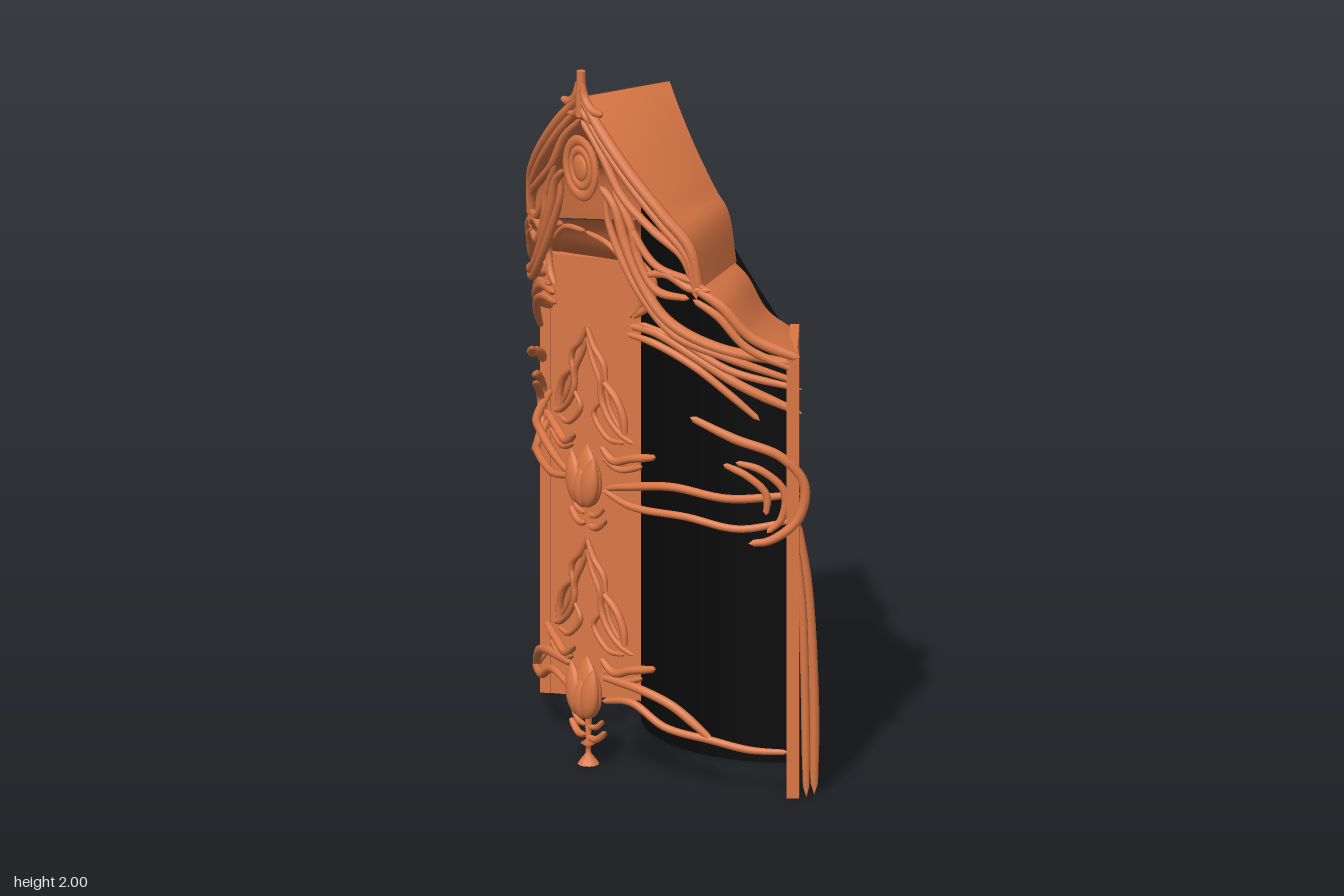
import * as THREE from 'three';
import { ParametricGeometry } from 'three/addons/geometries/ParametricGeometry.js';

const copper = new THREE.MeshStandardMaterial({ color: 0xdc7846, side: THREE.DoubleSide });
const black = new THREE.MeshStandardMaterial({ color: 0x0a0a0a, side: THREE.DoubleSide });
const CZ = -0.46;          // axis of the curved plan
const R_IN = 0.39, R_OUT = 0.68;
const rad = THREE.MathUtils.degToRad;
const spline = pts => new THREE.CatmullRomCurve3(pts.map(([x, y, z = 0]) => new THREE.Vector3(x, y, z)));

export function createModel() {
  const root = new THREE.Group();

  const add = (name, geo, mat = copper, parent = root) => {
    const m = new THREE.Mesh(geo, mat);
    m.name = name;
    parent.add(m);
    return m;
  };

  // Tube through 3D points with its ends drawn closed
  const rod = (name, pts, r, flat = 1) => {
    const n = Math.max(14, pts.length * 6), sides = 8;
    const curve = spline(pts);
    const g = new THREE.TubeGeometry(curve, n, r, sides);
    const p = g.attributes.position, c = new THREE.Vector3(), v = new THREE.Vector3();
    for (let i = 0; i <= n; i++) {
      curve.getPointAt(i / n, c);
      const t = Math.min(i, n - i) / n;
      const s = t === 0 ? 0 : Math.min(1, 0.7 + t * 1.5);
      for (let j = 0; j <= sides; j++) {
        const k = i * (sides + 1) + j;
        v.fromBufferAttribute(p, k).sub(c).multiplyScalar(s * flat).add(c);
        p.setXYZ(k, v.x, v.y, v.z);
      }
    }
    return add(name, g);
  };

  // Front-view (x, y) path laid on the curved front, built on both sides
  const wrap = (x, R) => CZ + Math.sqrt(Math.max(0, R * R - x * x));
  const vine = (name, pts, r = 0.012, R = 0.675) => {
    for (const s of [1, -1]) rod(name, pts.map(([x, y]) => [s * x, y, wrap(x, R)]), r);
  };

  // Black back panel with pointed top
  add('backPanel', new ParametricGeometry((u, v, t) => {
    const a = rad((u * 2 - 1) * 57), k = Math.abs(u * 2 - 1);
    t.set(R_IN * Math.sin(a), v * (1.9 - 0.68 * Math.pow(k, 0.87)), CZ + R_IN * Math.cos(a));
  }, 48, 1), black);

  // Roof sheets: profile of angle and height swept from inner to outer radius
  const upper = [[0.3, 1.925], [8, 1.84], [16, 1.75], [25, 1.65], [31.5, 1.57], [34, 1.45]];
  const lower = [[33, 1.45], [39, 1.41], [46, 1.325], [57, 1.265]];
  for (const [name, prof] of [['upperRoof', upper], ['lowerRoof', lower]]) {
    const c = spline(prof);
    for (const s of [1, -1]) {
      add(name, new ParametricGeometry((u, v, t) => {
        const p = c.getPoint(u), a = rad(p.x), R = R_IN + v * (R_OUT - R_IN);
        t.set(s * R * Math.sin(a), p.y - 0.015 * (1 - v), CZ + R * Math.cos(a));
      }, 24, 2));
    }
    // Mouldings along the front edge
    for (const [d, r] of [[0, 0.016], [0.03, 0.012]]) {
      vine(name + 'Moulding', prof.map(([a, y]) => [Math.max(0, (0.69 - d * 0.4) * Math.sin(rad(a))), y - d]), r, 0.692);
    }
  }

  // Side walls with jambs and outer stems
  for (const s of [1, -1]) {
    const wall = add('sideWall', new THREE.BoxGeometry(0.295, 1.265, 0.025));
    wall.position.set(s * 0.452, 0.6325, -0.156);
    wall.rotation.y = -s * Math.atan2(0.18, 0.23);
    const jamb = add('jamb', new THREE.BoxGeometry(0.028, 1.265, 0.035));
    jamb.position.set(s * 0.562, 0.6325, -0.072);
    jamb.rotation.y = wall.rotation.y;
    rod('outerStem', [[s * 0.582, 0, -0.13], [s * 0.58, 0.3, -0.13], [s * 0.572, 0.6, -0.115], [s * 0.558, 0.8, -0.09]], 0.014);
    rod('innerStem', [[s * 0.586, 0, -0.1], [s * 0.58, 0.3, -0.1], [s * 0.574, 0.55, -0.095], [s * 0.562, 0.72, -0.085]], 0.012);
  }

  // Gable ornament: leaf frames, sweeping vines and centre arch
  vine('gableBand', [[0, 1.86], [0.08, 1.79], [0.16, 1.68], [0.26, 1.6], [0.34, 1.54], [0.37, 1.46]], 0.012, 0.69);
  vine('gableLeaf', [[0.15, 1.67], [0.2, 1.58], [0.27, 1.5], [0.37, 1.47], [0.4, 1.45]], 0.011, 0.69);
  vine('gableCurl', [[0.24, 1.47], [0.3, 1.48], [0.36, 1.45], [0.41, 1.45]], 0.012, 0.69);
  vine('gableVine', [[0.08, 1.69], [0.13, 1.65], [0.17, 1.55], [0.22, 1.45], [0.3, 1.35], [0.42, 1.29], [0.57, 1.25]], 0.015, 0.69);
  vine('gableVine', [[0.1, 1.66], [0.11, 1.6], [0.16, 1.5], [0.23, 1.4], [0.32, 1.31], [0.45, 1.26], [0.57, 1.2]], 0.012, 0.69);
  vine('gableVine', [[0.13, 1.69], [0.19, 1.6], [0.21, 1.52], [0.27, 1.43], [0.36, 1.42]], 0.012, 0.69);
  vine('archCurl', [[0, 1.535], [0.1, 1.52], [0.18, 1.46]], 0.008);
  vine('archCurl', [[0.12, 1.52], [0.19, 1.5], [0.245, 1.45], [0.235, 1.38], [0.18, 1.33]], 0.012);
  vine('archCurl', [[0.19, 1.46], [0.215, 1.42], [0.2, 1.36], [0.17, 1.33]], 0.01);
  vine('eaveVine', [[0.17, 1.305], [0.26, 1.3], [0.36, 1.25], [0.46, 1.18], [0.57, 1.1]], 0.014);
  vine('eaveVine', [[0.16, 1.28], [0.25, 1.27], [0.36, 1.22], [0.44, 1.15], [0.5, 1.08]], 0.011);
  vine('eaveVine', [[0.2, 1.32], [0.32, 1.29], [0.44, 1.22], [0.57, 1.17]], 0.011);

  // Large loops beside the upper bud
  vine('sideLoop', [[0.36, 1.08], [0.46, 1.03], [0.55, 0.98], [0.585, 0.9], [0.575, 0.8], [0.53, 0.74], [0.49, 0.73]], 0.014, 0.69);
  vine('sideLoop', [[0.46, 0.96], [0.51, 0.94], [0.55, 0.88], [0.545, 0.8], [0.52, 0.76]], 0.011, 0.685);
  vine('sideLoop', [[0.43, 0.95], [0.48, 0.92], [0.515, 0.87], [0.515, 0.81]], 0.011, 0.68);
  vine('upperVine', [[0.08, 0.815], [0.17, 0.84], [0.3, 0.865], [0.44, 0.85], [0.57, 0.87]], 0.012);
  vine('upperVine', [[0.07, 0.81], [0.18, 0.785], [0.34, 0.785], [0.46, 0.765], [0.57, 0.8]], 0.011);
  vine('lowerVine', [[0.07, 0.27], [0.2, 0.265], [0.3, 0.235], [0.36, 0.19], [0.4, 0.15]], 0.013);
  vine('lowerVine', [[0.07, 0.2], [0.18, 0.22], [0.28, 0.17], [0.4, 0.15], [0.48, 0.13], [0.55, 0.125]], 0.011);

  // Two centre motifs: pointed tendrils, leaf loops and a bud
  for (const dy of [0, -0.61]) {
    const motif = (name, pts, r) => vine(name, pts.map(([x, y]) => [x, y + dy]), r, 0.67);
    motif('tendril', [[0, 1.26], [0.03, 1.21], [0.07, 1.17], [0.08, 1.12]], 0.009);
    motif('tendril', [[0, 1.23], [0.02, 1.18], [0.055, 1.12], [0.06, 1.07]], 0.008);
    motif('leafLoop', [[0.08, 1.16], [0.06, 1.08], [0.09, 1.02], [0.14, 0.98], [0.18, 0.965]], 0.009);
    motif('leafLoop', [[0.07, 1.12], [0.12, 1.08], [0.145, 1.03], [0.15, 0.98]], 0.011);
    motif('leafLoop', [[0.08, 1.1], [0.095, 1.05], [0.13, 1.0]], 0.007);
    motif('leafLoop', [[0.06, 1.06], [0.03, 1.02], [0.09, 0.96], [0.15, 0.96]], 0.008);
    motif('sprig', [[0.06, 0.93], [0.11, 0.9], [0.17, 0.92], [0.25, 0.94]], 0.012);
    motif('sprig', [[0.07, 0.9], [0.13, 0.88], [0.21, 0.905]], 0.009);
    motif('budTendril', [[0.01, 0.69], [0.04, 0.69], [0.08, 0.72]], 0.01);
    motif('budTendril', [[0.01, 0.72], [0.04, 0.725], [0.07, 0.75]], 0.008);

    const bud = new THREE.Group();
    bud.name = 'bud';
    bud.position.set(0, 0.83 + dy, 0.21);
    root.add(bud);
    const prof = [[0, -0.09], [0.035, -0.075], [0.058, -0.035], [0.055, 0.015], [0.03, 0.06], [0, 0.092]];
    const core = new THREE.LatheGeometry(new THREE.SplineCurve(prof.map(p => new THREE.Vector2(...p))).getPoints(16), 20);
    add('budCore', core, copper, bud).scale.z = 0.45;
    for (const [x, tilt] of [[-0.034, 0.22], [0.034, -0.22], [0, 0]]) {
      const petal = add('petal', core, copper, bud);
      petal.scale.set(0.58, x ? 0.86 : 0.7, 0.36);
      petal.position.set(x, x ? -0.008 : -0.025, 0.016);
      petal.rotation.z = tilt;
    }
  }

  // Foot below the lower bud
  const foot = [[0.03, 0], [0.022, 0.012], [0.008, 0.03], [0.007, 0.05], [0.022, 0.06], [0.007, 0.07], [0.01, 0.13]];
  add('foot', new THREE.LatheGeometry(foot.map(p => new THREE.Vector2(...p)), 12)).position.z = 0.205;

  // Oval medallion
  const medallion = new THREE.Group();
  medallion.name = 'medallion';
  medallion.position.set(0, 1.72, 0.226);
  medallion.scale.set(1, 1.2, 0.6);
  root.add(medallion);
  add('medallionPlate', new THREE.CylinderGeometry(0.07, 0.07, 0.016, 32), copper, medallion).rotation.x = Math.PI / 2;
  for (const [R, r] of [[0.066, 0.012], [0.043, 0.009]]) {
    add('medallionRing', new THREE.TorusGeometry(R, r, 8, 32), copper, medallion).position.z = 0.01;
  }
  const stone = add('medallionStone', new THREE.SphereGeometry(0.03, 20, 12), copper, medallion);
  stone.scale.z = 0.5;
  stone.position.z = 0.012;

  // Finial at the peak
  add('finial', new THREE.CylinderGeometry(0.012, 0.016, 0.13, 10)).position.set(0, 1.935, 0.23);
  vine('finialCurl', [[0.008, 1.97], [0.018, 1.93], [0.05, 1.9], [0.09, 1.895]], 0.012, 0.692);
  vine('finialCurl', [[0, 1.9], [0.03, 1.87], [0.075, 1.87]], 0.01, 0.692);

  return root;
}
